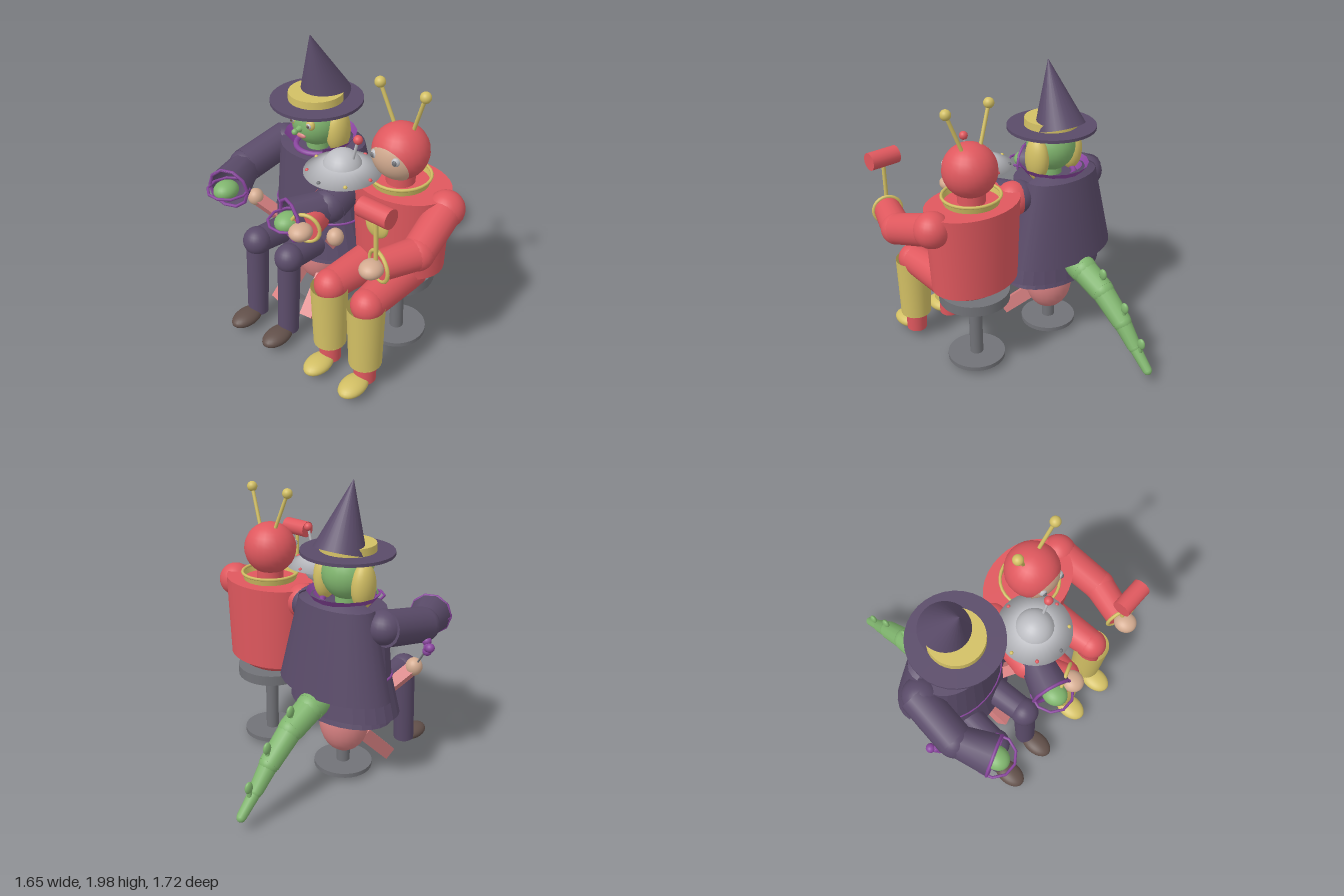
import * as THREE from 'three';

const mat = (name, color, double) => {
  const m = new THREE.MeshStandardMaterial({ color });
  m.name = name;
  if (double) m.side = THREE.DoubleSide;
  return m;
};
const V = (a) => new THREE.Vector3(...a);

export function createModel() {
  const root = new THREE.Group();
  root.name = 'seatedPair';
  const dark = mat('darkPurple', 0x5a4b69, true), violet = mat('violet', 0x8a469f, true);
  const red = mat('red', 0xdf585e, true), gold = mat('gold', 0xd2bf64, true);
  const green = mat('green', 0x80b56e), pink = mat('pink', 0xd98283);
  const skin = mat('skin', 0xd3ab90), brown = mat('brown', 0x62504a);
  const iron = mat('iron', 0x717277), silver = mat('silver', 0xbcbdc2);

  // Helpers: every part goes into the current figure group
  let g = root;
  const add = (name, geo, m, p = [0, 0, 0]) => {
    const o = new THREE.Mesh(geo, m);
    o.name = name;
    o.position.set(...p);
    g.add(o);
    return o;
  };
  const ball = (name, m, p, rx, ry = rx, rz = rx) => {
    const o = add(name, new THREE.SphereGeometry(1, 24, 16), m, p);
    o.scale.set(rx, ry, rz);
    return o;
  };
  const aim = (o, a, b) => {
    o.position.copy(V(a).add(V(b)).multiplyScalar(0.5));
    o.quaternion.setFromUnitVectors(new THREE.Vector3(0, 1, 0), V(b).sub(V(a)).normalize());
    return o;
  };
  const limb = (name, m, a, b, ra, rb = ra, open = false, seg = 20) =>
    aim(add(name, new THREE.CylinderGeometry(rb, ra, V(a).distanceTo(V(b)), seg, 1, open), m), a, b);
  const beam = (name, m, a, b, w) =>
    aim(add(name, new THREE.BoxGeometry(w, V(a).distanceTo(V(b)), w), m), a, b);
  const figure = (name, x) => {
    g = new THREE.Group();
    g.name = name;
    g.position.x = x;
    root.add(g);
  };
  const stool = (poleTop) => {
    limb('stoolBase', iron, [0, 0.06, 0.125], [0, 0.09, 0.125], 0.195, 0.195, false, 32);
    limb('stoolPole', iron, [0, 0.08, 0.125], [0, poleTop, 0.125], 0.045);
    limb('stoolSeat', iron, [0, 0.53, 0.125], [0, 0.6, 0.125], 0.235, 0.235, false, 32);
  };

  // ---------- Figure in the pointed hat ----------
  figure('hatFigure', -0.32);
  stool(0.56);

  // Bodice and tiered skirt
  const dress = add('dress', new THREE.LatheGeometry([
    [0.001, 1.245], [0.28, 1.24], [0.33, 0.8], [0.40, 0.545], [0.33, 0.535], [0.35, 0.485], [0.001, 0.485],
  ].map((p) => new THREE.Vector2(...p)).reverse(), 28).toNonIndexed(), dark, [0, 0, 0.12]);
  dress.geometry.computeVertexNormals();
  dress.scale.z = 0.7;
  const belt = add('belt', new THREE.TorusGeometry(0.332, 0.008, 6, 32).rotateX(Math.PI / 2), violet, [0, 0.8, 0.12]);
  belt.scale.z = 0.7;

  // Cape round the back and its raised collar
  const cape = add('cape', new THREE.CylinderGeometry(0.28, 0.42, 0.57, 16, 1, true, Math.PI * 0.45, Math.PI * 1.1), dark, [0, 0.985, 0.02]);
  cape.scale.z = 0.6;
  const shoulderCover = add('capeTop', new THREE.CylinderGeometry(0.17, 0.28, 0.04, 16, 1, true, Math.PI * 0.45, Math.PI * 1.1), dark, [0, 1.28, 0.02]);
  shoulderCover.scale.z = 0.6;
  add('collar', new THREE.CylinderGeometry(0.235, 0.165, 0.09, 12, 1, true, Math.PI * 0.25, Math.PI * 1.5), violet, [0, 1.28, 0.09]);
  add('collarRing', new THREE.TorusGeometry(0.15, 0.018, 8, 24).rotateX(Math.PI / 2), violet, [0, 1.25, 0.11]);

  // Head
  limb('neck', green, [0, 1.2, 0.12], [0, 1.32, 0.12], 0.075);
  ball('head', green, [0, 1.43, 0.12], 0.163, 0.165, 0.163);
  limb('nose', green, [0, 1.425, 0.26], [0, 1.42, 0.34], 0.026, 0.006);
  ball('noseWart', green, [0, 1.42, 0.325], 0.02);
  ball('mouth', pink, [0, 1.375, 0.272], 0.04, 0.018, 0.015);
  for (const s of [-1, 1]) {
    ball('hair', gold, [s * 0.15, 1.385, 0.09], 0.07, 0.15, 0.09);
    ball('eyeRim', gold, [s * 0.068, 1.46, 0.253], 0.033, 0.036, 0.024);
    ball('eye', silver, [s * 0.07, 1.46, 0.267], 0.02, 0.02, 0.016);
    ball('pupil', brown, [s * 0.071, 1.46, 0.279], 0.011, 0.011, 0.008);
  }

  // Hat
  limb('hatBrim', dark, [0, 1.56, 0.115], [0, 1.58, 0.115], 0.295, 0.295, false, 32);
  limb('hatBand', gold, [0, 1.58, 0.12], [0, 1.628, 0.12], 0.178, 0.175, false, 32);
  limb('hatCone', dark, [0, 1.585, 0.04], [0, 2.0, 0.155], 0.168, 0.002, false, 28);

  for (const s of [-1, 1]) {
    // Sleeves with flared, trimmed cuffs
    const shoulder = [s * 0.33, 1.16, 0.08], elbow = [s * 0.365, 1.09, 0.43], wrist = [s * 0.27, 1.065, 0.67];
    ball('shoulder', dark, [s * 0.31, 1.16, 0.1], 0.12, 0.11, 0.12);
    limb('upperArm', dark, shoulder, elbow, 0.115, 0.115, false, 16);
    ball('elbow', dark, elbow, 0.112);
    limb('sleeve', dark, elbow, wrist, 0.1, 0.138, true, 10);
    const trim = add('cuffTrim', new THREE.TorusGeometry(0.133, 0.011, 6, 10), violet, wrist);
    trim.rotation.y = -s * 0.35;
    add('cuffHoop', new THREE.TorusGeometry(0.133, 0.009, 6, 10).rotateX(Math.PI / 2), violet, wrist);
    ball('hand', green, [s * 0.27, 1.065, 0.69], 0.075, 0.06, 0.085);

    // Legs and shoes
    const knee = [s * 0.145, 0.665, 0.58];
    limb('thigh', dark, [s * 0.12, 0.62, 0.15], knee, 0.1, 0.085);
    ball('knee', dark, knee, 0.095);
    limb('shin', dark, knee, [s * 0.145, 0.1, 0.63], 0.075, 0.07);
    ball('shoe', brown, [s * 0.147, 0.105, 0.735], 0.078, 0.05, 0.12);

    // Lower pink passenger: legs, arms and hands
    beam('pinkLeg', pink, [s * 0.1, 0.31, 0.19], [s * 0.135, 0.06, 0.44], 0.09);
    beam('pinkArm', pink, [s * 0.24, 0.66, 0.27], [s * 0.35, 0.8, 0.37], 0.075);
    ball('lowerHand', skin, [s * 0.36, 0.815, 0.375], 0.055, 0.06, 0.055);
  }
  ball('pinkBody', pink, [0, 0.4, 0.13], 0.17, 0.23, 0.17);

  // Small flower held at one side
  limb('flowerStem', iron, [-0.36, 0.8, 0.37], [-0.46, 0.98, 0.36], 0.006);
  for (const [x, y, z] of [[0, 0, 0], [0.02, 0.035, 0.01], [-0.025, 0.01, -0.02], [0.015, -0.035, 0.015]])
    ball('flower', violet, [-0.465 + x, 0.985 + y, 0.36 + z], 0.03);

  // Segmented tail with knobs
  const tail = [[0, 0.69, -0.02], [0, 0.625, -0.22], [0, 0.54, -0.4], [0, 0.385, -0.59], [0, 0.25, -0.71], [0, 0.125, -0.835]];
  const tr = [0.09, 0.09, 0.077, 0.06, 0.04, 0.025];
  for (let i = 0; i < 5; i++) {
    limb('tailSegment', green, tail[i], tail[i + 1], tr[i], tr[i + 1] + 0.006, false, 14);
    ball('tailJoint', green, tail[i + 1], tr[i + 1] + 0.004);
  }
  for (const [y, z, base] of [[0.665, -0.4, 0.6], [0.5, -0.605, 0.41], [0.3, -0.765, 0.21]]) {
    limb('tailSpike', green, [0, base, z + 0.01], [0, y, z], 0.02, 0.012, false, 8);
    ball('tailKnob', green, [0, y, z], 0.018, 0.04, 0.03);
  }

  // ---------- Figure with antennae ----------
  figure('antennaFigure', 0.35);
  stool(0.56);

  const torso = add('torso', new THREE.CylinderGeometry(0.33, 0.305, 0.56, 32), red, [0, 0.96, 0.11]);
  torso.scale.z = 0.75;
  ball('hips', red, [0, 0.68, 0.12], 0.26, 0.1, 0.2);
  add('collar', new THREE.CylinderGeometry(0.19, 0.175, 0.06, 28, 1, true), gold, [0, 1.26, 0.12]);
  add('collarRim', new THREE.TorusGeometry(0.187, 0.01, 6, 28).rotateX(Math.PI / 2), gold, [0, 1.285, 0.12]);
  ball('chestBadge', gold, [0, 1.03, 0.342], 0.085, 0.09, 0.03);

  // Head with face opening, eyes and antennae
  limb('neck', red, [0, 1.22, 0.12], [0, 1.32, 0.12], 0.09);
  ball('head', red, [0, 1.45, 0.125], 0.175);
  add('face', new THREE.SphereGeometry(0.178, 24, 8, 0, Math.PI * 2, 0, 0.87).rotateX(1.98), skin, [0, 1.45, 0.125]);
  for (const s of [-1, 1]) {
    ball('eye', silver, [s * 0.075, 1.465, 0.268], 0.028, 0.031, 0.03);
    ball('pupil', iron, [s * 0.079, 1.465, 0.29], 0.015, 0.018, 0.012);
    limb('antennaRod', gold, [s * 0.06, 1.57, 0.1], [s * 0.16, 1.84, 0.125], 0.012);
    ball('antennaBall', gold, [s * 0.16, 1.84, 0.125], 0.034);

    // Arms, cuffs and hands
    const shoulder = [s * 0.32, 1.16, 0.1], elbow = [s * 0.36, 1.05, 0.43], wrist = [s * 0.275, 1.065, 0.67];
    ball('shoulder', red, shoulder, 0.115);
    limb('upperArm', red, shoulder, elbow, 0.105, 0.1);
    ball('elbow', red, elbow, 0.102);
    limb('forearm', red, elbow, wrist, 0.098, 0.088);
    const cuff = add('cuff', new THREE.TorusGeometry(0.092, 0.012, 8, 24), gold, wrist);
    cuff.rotation.y = -s * 0.34;
    ball('hand', skin, [s * 0.265, 1.07, 0.72], 0.07, 0.052, 0.075);

    // Legs, tall boots and shoes
    const knee = [s * 0.145, 0.67, 0.61];
    limb('thigh', red, [s * 0.115, 0.655, 0.16], knee, 0.13, 0.1);
    ball('knee', red, knee, 0.102);
    limb('shin', red, knee, [s * 0.145, 0.09, 0.635], 0.08, 0.07);
    limb('boot', gold, [s * 0.145, 0.23, 0.63], [s * 0.145, 0.665, 0.62], 0.105, 0.117, true, 24);
    limb('bootSole', gold, [s * 0.145, 0.23, 0.63], [s * 0.145, 0.24, 0.63], 0.105);
    ball('shoe', gold, [s * 0.145, 0.105, 0.745], 0.08, 0.048, 0.115);
  }

  // Mallet
  limb('malletHandle', gold, [0.267, 1.04, 0.685], [0.267, 1.4, 0.685], 0.013);
  limb('malletHead', red, [0.167, 1.425, 0.685], [0.367, 1.425, 0.685], 0.058);

  // ---------- Flying saucer ----------
  figure('saucer', 0.105);
  add('saucerDisc', new THREE.LatheGeometry([
    [0.001, 1.3], [0.11, 1.305], [0.235, 1.333], [0.12, 1.385], [0.001, 1.39],
  ].map((p) => new THREE.Vector2(...p)), 32), silver, [0, 0, 0.365]);
  ball('saucerDome', silver, [0, 1.335, 0.365], 0.125, 0.135, 0.125);
  limb('saucerAerial', silver, [0.07, 1.41, 0.36], [0.112, 1.57, 0.355], 0.009);
  ball('saucerAerialBall', red, [0.112, 1.57, 0.355], 0.028);
  for (let i = 0; i < 8; i++) {
    const a = (i * Math.PI) / 4;
    for (const [r, y] of [[0.21, 1.343], [0.15, 1.312]])
      ball('saucerLight', [red, gold, iron][i % 3], [Math.cos(a) * r, y, 0.365 + Math.sin(a) * r], 0.012);
  }
  return root;
}
